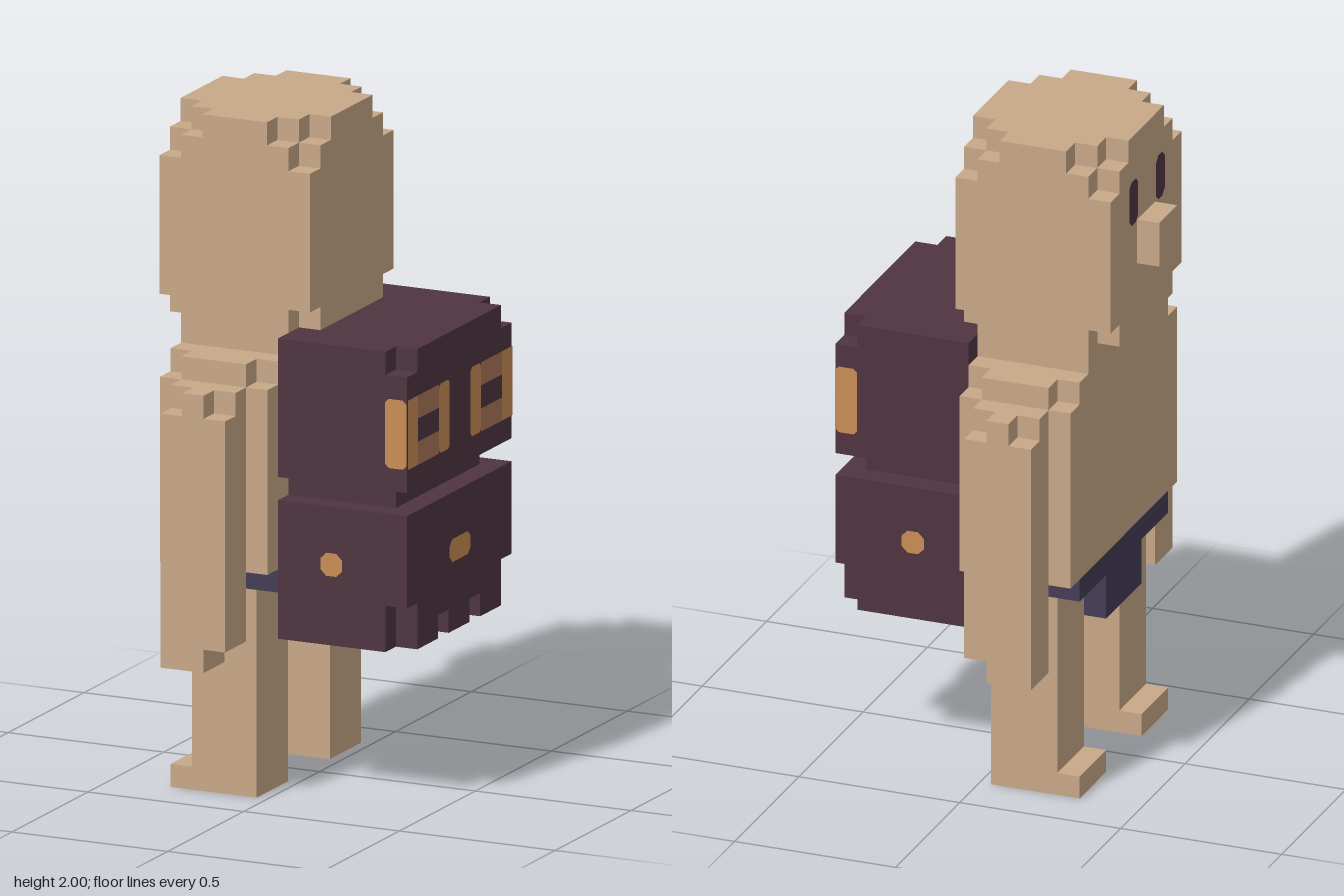
import * as THREE from 'three';

const U = 2 / 29; // one cube of the grid
const X = i => (i - 6.5) * U;
const Y = j => j * U;
const Z = k => (k - 8) * U;

const material = (name, color) => {
  const m = new THREE.MeshStandardMaterial({ color });
  m.name = name;
  return m;
};

// The outer faces of a block of cubes, leaving out the cubes for which cut() is true.
// Ranges are [from, to] in grid cells.
function blockGeometry([x0, x1], [y0, y1], [z0, z1], cut = () => false) {
  const full = (x, y, z) =>
    x >= x0 && x < x1 && y >= y0 && y < y1 && z >= z0 && z < z1 && !cut(x, y, z);
  const pos = [], nor = [];
  for (let x = x0; x < x1; x++) for (let y = y0; y < y1; y++) for (let z = z0; z < z1; z++) {
    if (!full(x, y, z)) continue;
    for (let axis = 0; axis < 3; axis++) for (const s of [0, 1]) {
      const n = [0, 0, 0];
      n[axis] = s ? 1 : -1;
      if (full(x + n[0], y + n[1], z + n[2])) continue;
      const corner = (a, b) => {
        const c = [x, y, z];
        c[axis] += s;
        c[(axis + 1) % 3] += a;
        c[(axis + 2) % 3] += b;
        return [X(c[0]), Y(c[1]), Z(c[2])];
      };
      const q = [corner(0, 0), corner(1, 0), corner(1, 1), corner(0, 1)];
      for (const i of s ? [0, 1, 2, 0, 2, 3] : [0, 2, 1, 0, 3, 2]) {
        pos.push(...q[i]);
        nor.push(...n);
      }
    }
  }
  const g = new THREE.BufferGeometry();
  g.setAttribute('position', new THREE.Float32BufferAttribute(pos, 3));
  g.setAttribute('normal', new THREE.Float32BufferAttribute(nor, 3));
  return g;
}

// Flat rectangle with clipped corners
function plateGeometry(w, h, c) {
  const a = w / 2, b = h / 2;
  const pts = [[-a + c, -b], [a - c, -b], [a, -b + c], [a, b - c],
    [a - c, b], [-a + c, b], [-a, b - c], [-a, -b + c]];
  return new THREE.ShapeGeometry(new THREE.Shape(pts.map(p => new THREE.Vector2(...p))));
}

export function createModel() {
  const group = new THREE.Group();
  const skin = material('skin', 0xc8a888);
  const purple = material('dark purple', 0x4f3440);
  const orange = material('orange', 0xc98d56);
  const brown = material('dull orange', 0xab7659);
  const navy = material('navy', 0x443c56);

  const add = (name, geometry, mat) => {
    const mesh = new THREE.Mesh(geometry, mat);
    mesh.name = name;
    group.add(mesh);
    return mesh;
  };
  const block = (name, mat, x, y, z, cut) => add(name, blockGeometry(x, y, z, cut), mat);

  // Painted plates on faces that look along x or z
  const lift = 0.003;
  const plateX = (name, mat, x, dir, y, z, clip = 0) => {
    const m = add(name, plateGeometry((z[1] - z[0]) * U, (y[1] - y[0]) * U, clip), mat);
    m.rotation.y = dir * Math.PI / 2;
    m.position.set(X(x) + dir * lift, Y((y[0] + y[1]) / 2), Z((z[0] + z[1]) / 2));
  };
  const plateZ = (name, mat, z, dir, x, y, clip = 0) => {
    const m = add(name, plateGeometry((x[1] - x[0]) * U, (y[1] - y[0]) * U, clip), mat);
    m.rotation.y = dir > 0 ? 0 : Math.PI;
    m.position.set(X((x[0] + x[1]) / 2), Y((y[0] + y[1]) / 2), Z(z) + dir * lift);
  };

  // Head with stepped corners, larger at the top
  block('head', skin, [1, 8], [20, 29], [4, 12], (x, y, z) => {
    const side = Math.min(x - 1, 7 - x) + Math.min(z - 4, 11 - z);
    return side + 28 - y <= 1 || side + y - 20 === 0;
  });
  block('nose', skin, [0, 1], [23, 25], [7, 9]);
  for (const k of [6, 9]) plateX('eye', purple, 1, -1, [25, 27], [k, k + 1], 0.018);

  // Neck and torso
  block('neck', skin, [2, 7], [19, 20], [4, 12]);
  block('torso', skin, [2, 7], [10, 19], [2, 14], (x, y, z) =>
    y === 18 && (x === 2 || x === 6) && (z === 2 || z === 13));

  // Shorts
  block('waistband', navy, [2, 7], [9, 10], [3, 13]);
  block('shorts', navy, [2, 7], [7, 9], [6, 10]);

  // Arms and legs on both sides
  for (const s of [1, -1]) {
    const span = (a, b) => (s > 0 ? [8 + a, 8 + b] : [8 - b, 8 - a]);
    const outer = s > 0 ? 15 : 0;
    block('arm', skin, [3, 6], [6, 18], span(6, 8), (x, y, z) =>
      (y === 6 && x === 5) || (y === 17 && x !== 4 && z === outer));
    block('leg', skin, [3, 6], [0, 9], span(2, 5));
    block('foot', skin, [2, 3], [0, 1], span(2, 5));
  }

  // Backpack: upper and lower halves joined by a recessed seam
  const packCorner = (x, z) => x === 12 && (z === 3 || z === 12);
  block('packTop', purple, [7, 13], [14, 20], [3, 13], (x, y, z) => y === 19 && packCorner(x, z));
  block('packSeam', purple, [7, 12], [13, 14], [4, 12]);
  block('packBottom', purple, [7, 13], [7, 13], [3, 13], (x, y, z) =>
    (y < 9 && packCorner(x, z)) || (y === 7 && x > 8 && (z === 6 || z === 9)));

  // Pack eyes: bright sides that wrap round the corner, duller bars above and below the gap
  for (const s of [1, -1]) {
    const span = (a, b) => (s > 0 ? [8 + a, 8 + b] : [8 - b, 8 - a]);
    plateX('packEyeInner', orange, 13, 1, [15, 18], span(1, 2), 0.01);
    plateX('packEyeOuter', orange, 13, 1, [15, 18], span(4, 5));
    for (const y of [15, 17]) plateX('packEyeBar', brown, 13, 1, [y, y + 1], span(2, 4));
    plateZ('packEyeWrap', orange, s > 0 ? 13 : 3, s, [12, 13], [15, 18], 0.012);
    plateZ('sideButton', orange, s > 0 ? 13 : 3, s, [9, 10], [10, 11], 0.018);
  }
  plateX('backButton', orange, 13, 1, [10, 11], [7, 9], 0.018);

  return group;
}
